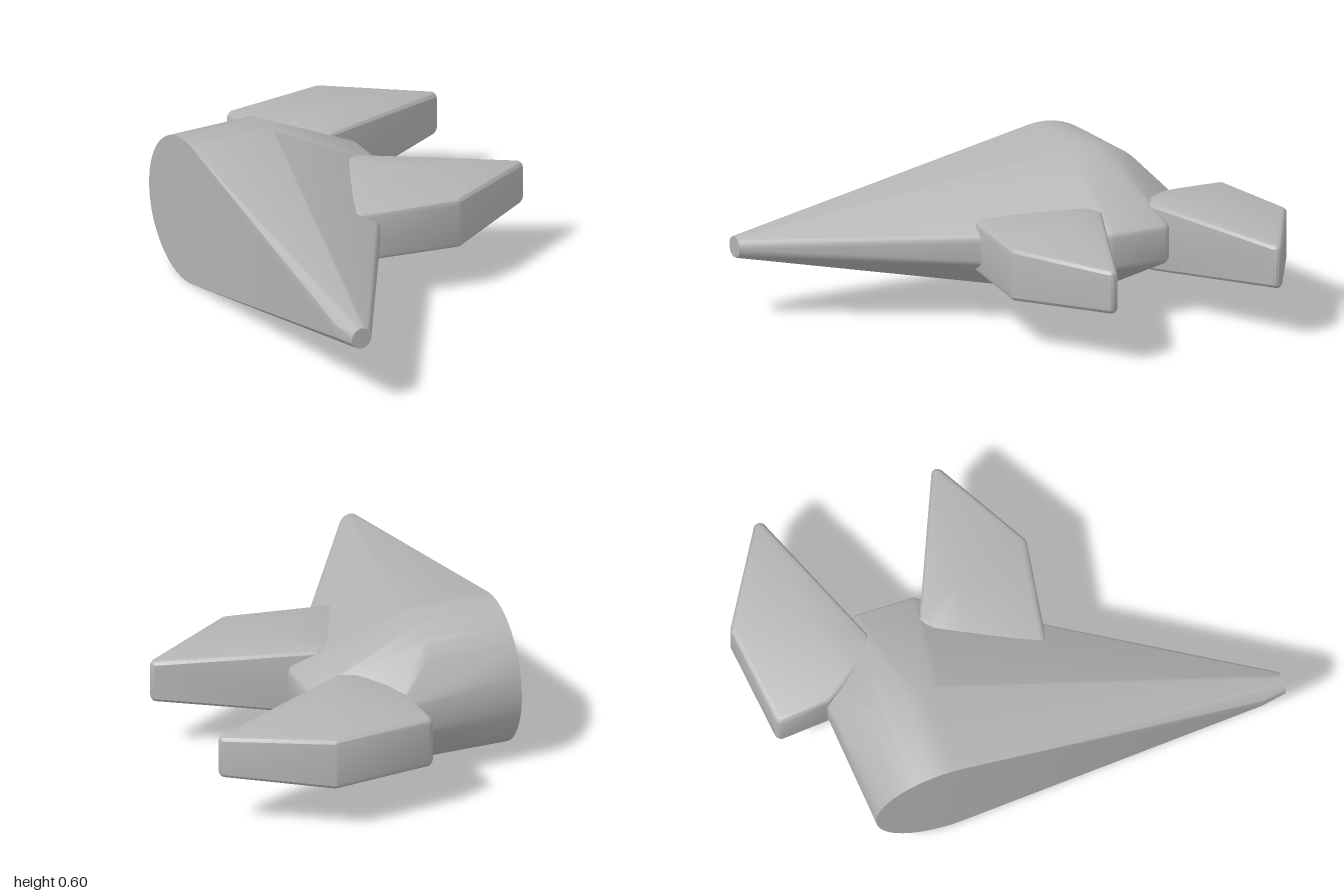
import * as THREE from 'three';
import { ConvexGeometry } from 'three/addons/geometries/ConvexGeometry.js';
import { toCreasedNormals } from 'three/addons/utils/BufferGeometryUtils.js';

const MID = 0.3; // height of the symmetry plane
const AXIS = -0.39; // z of the cone axis, between the fins

// Points of a small ball, used to round a hull corner
function ball(x, y, z, r) {
  const pos = new THREE.IcosahedronGeometry(r, 1).attributes.position;
  const pts = [];
  for (let i = 0; i < pos.count; i++) {
    pts.push(new THREE.Vector3().fromBufferAttribute(pos, i).add(new THREE.Vector3(x, y, z)));
  }
  return pts;
}

// A rounded corner and its twin below the symmetry plane
function corner(x, half, z, r) {
  return [...ball(x, MID + half - r, z, r), ...ball(x, MID - half + r, z, r)];
}

// Ring of points facing x or z
function ring(axis, x, z, r, n) {
  return Array.from({ length: n }, (_, i) => {
    const a = (i / n) * Math.PI * 2;
    const u = Math.cos(a) * r;
    const y = MID + Math.sin(a) * r;
    return axis === 'x' ? new THREE.Vector3(x, y, z + u) : new THREE.Vector3(x + u, y, z);
  });
}

// Convex solid with sharp edges kept sharp
function hull(name, points, material) {
  const unique = new Map(points.map((p) => [p.toArray().map((v) => v.toFixed(5)).join(), p]));
  const mesh = new THREE.Mesh(toCreasedNormals(new ConvexGeometry([...unique.values()]), 0.5), material);
  mesh.name = name;
  return mesh;
}

export function createModel() {
  const group = new THREE.Group();
  group.name = 'finnedBody';
  const grey = new THREE.MeshStandardMaterial({ color: 0xb4b4b4 });
  grey.name = 'plain grey';

  // Body: round flat side, drawn out to a long nose and a small blunt end
  group.add(hull('body', [
    ...ring('x', -0.65, AXIS, 0.3, 64),
    ...ring('x', -0.29, AXIS - 0.01, 0.3, 64),
    ...ring('z', -0.592, 1, 0.043, 24),
    new THREE.Vector3(-0.65, MID + 0.025, 0.9),
    new THREE.Vector3(-0.65, MID - 0.025, 0.9),
    ...corner(-0.13, 0.08, -0.705, 0.03),
    ...corner(0.142, 0.085, -0.28, 0.03),
    ...corner(0.142, 0.085, -0.5, 0.03),
  ], grey));

  // Fins: outline corners as [x, half height, distance from axis, rounding]
  const outline = [
    [-0.155, 0.108, 0.53, 0.028],
    [0.245, 0.108, 0.585, 0.025],
    [0.625, 0.09, 0.365, 0.025],
    [0.05, 0.138, 0.125, 0.02],
    [-0.01, 0.14, 0.145, 0.015],
    [-0.09, 0.13, 0.255, 0.02],
    [-0.14, 0.115, 0.34, 0.02],
    [0.16, 0.14, 0.3, 0.015],
  ];
  for (const [name, side] of [['frontFin', 1], ['backFin', -1]]) {
    const points = outline.flatMap(([x, half, d, r]) => corner(x, half, AXIS + side * d, r));
    group.add(hull(name, points, grey));
  }
  return group;
}
